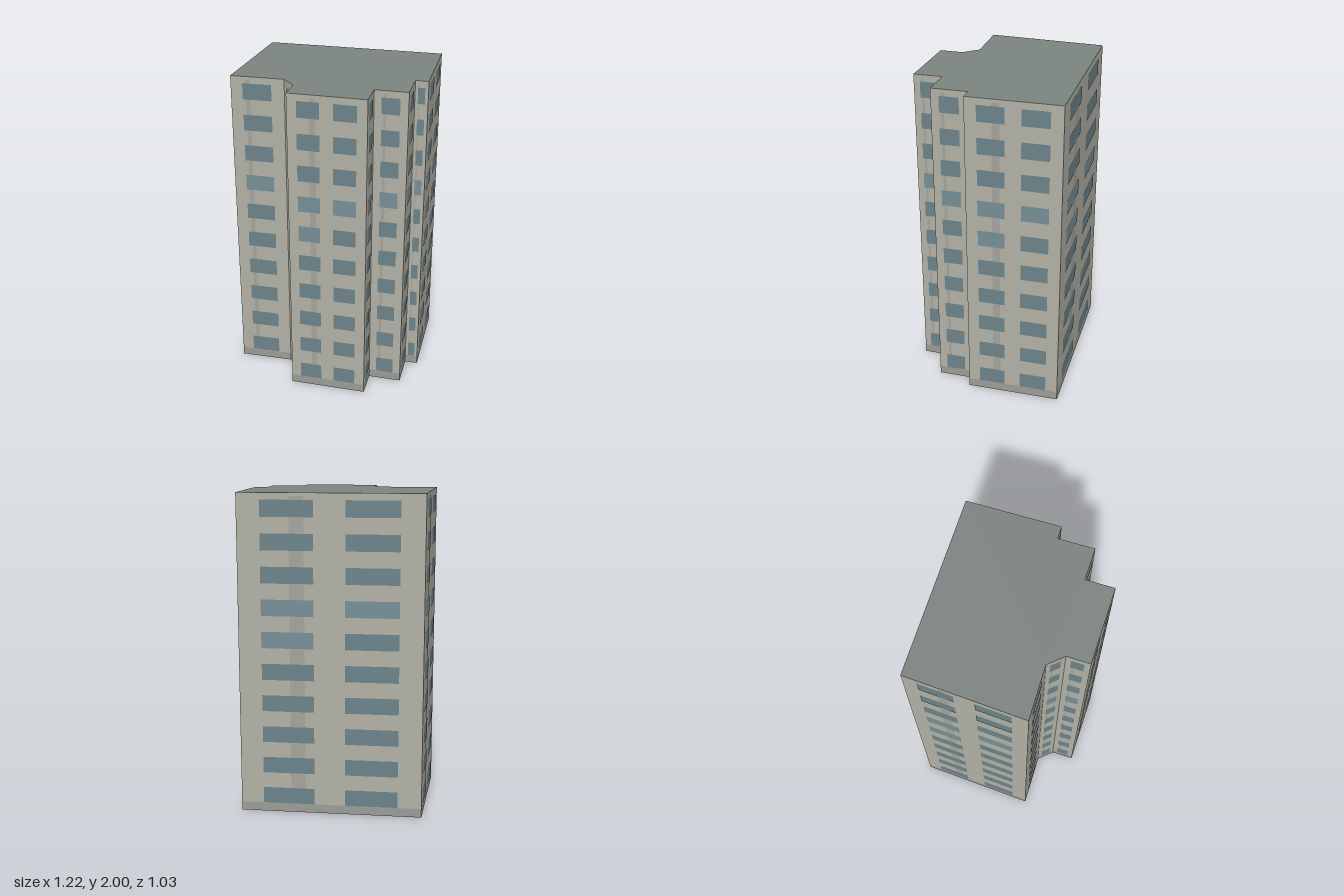
import * as THREE from 'three';
import { mergeGeometries } from 'three/addons/utils/BufferGeometryUtils.js';

const HEIGHT = 2, FLOORS = 10, FLOOR = HEIGHT / FLOORS;

// Footprint corners (x, z), running left to right as seen from outside
const PLAN = [
  [-0.61, 0.225], [-0.275, 0.24], [-0.2, 0.335], [-0.21, 0.48],
  [0.27, 0.515], [0.28, 0.335], [0.485, 0.35], [0.497, 0.125],
  [0.577, 0.13], [0.607, -0.452], [-0.527, -0.518],
];

// Upright panel on the wall p-q, between fractions u0..u1 and heights y0..y1
function panel(p, q, u0, u1, y0, y1, offset = 0) {
  const dx = q[0] - p[0], dz = q[1] - p[1], len = Math.hypot(dx, dz);
  const u = (u0 + u1) / 2;
  const g = new THREE.PlaneGeometry(len * (u1 - u0), y1 - y0);
  g.rotateY(Math.atan2(-dz, dx));
  g.translate(
    p[0] + dx * u - (dz / len) * offset,
    (y0 + y1) / 2,
    p[1] + dz * u + (dx / len) * offset,
  );
  return g;
}

export function createModel() {
  const group = new THREE.Group();
  const parts = { walls: [], plinth: [], weatheringStripes: [], windows: [], paleWindows: [] };

  PLAN.forEach((p, i) => {
    const q = PLAN[(i + 1) % PLAN.length];
    const long = Math.hypot(q[0] - p[0], q[1] - p[1]) > 0.4;
    parts.walls.push(panel(p, q, 0, 1, 0, HEIGHT));
    parts.plinth.push(panel(p, q, 0, 1, 0, 0.055, 0.001));
    parts.weatheringStripes.push(panel(p, q, 0.28, 0.36, 0.14, 1.98, 0.001));

    // Long walls carry two windows per floor, short walls one
    const bays = long ? [[0.125, 0.41], [0.58, 0.87]] : [[0.22, 0.76]];
    for (let f = 0; f < FLOORS; f++) {
      bays.forEach(([u0, u1], bay) => {
        const pale = f === 6 || (f === 5 && long && bay === 0);
        const y = f * FLOOR + 0.056;
        parts[pale ? 'paleWindows' : 'windows'].push(panel(p, q, u0, u1, y, y + 0.102, 0.002));
      });
    }
  });

  const colors = {
    walls: 0xb2b1a6, plinth: 0x9a9c97, weatheringStripes: 0xa4a49c,
    windows: 0x6b838a, paleWindows: 0x768e97,
  };
  for (const [name, list] of Object.entries(parts)) {
    const material = new THREE.MeshStandardMaterial({ color: colors[name] });
    if (name === 'walls') material.side = THREE.DoubleSide; // the shell is open below
    const mesh = new THREE.Mesh(mergeGeometries(list), material);
    mesh.name = name;
    group.add(mesh);
  }

  // Flat roof
  const outline = new THREE.Shape(PLAN.map(([x, z]) => new THREE.Vector2(x, -z)));
  const roof = new THREE.Mesh(
    new THREE.ShapeGeometry(outline).rotateX(-Math.PI / 2).translate(0, HEIGHT, 0),
    new THREE.MeshStandardMaterial({ color: 0x7c8480, side: THREE.DoubleSide }),
  );
  roof.name = 'roof';
  group.add(roof);
  return group;
}
